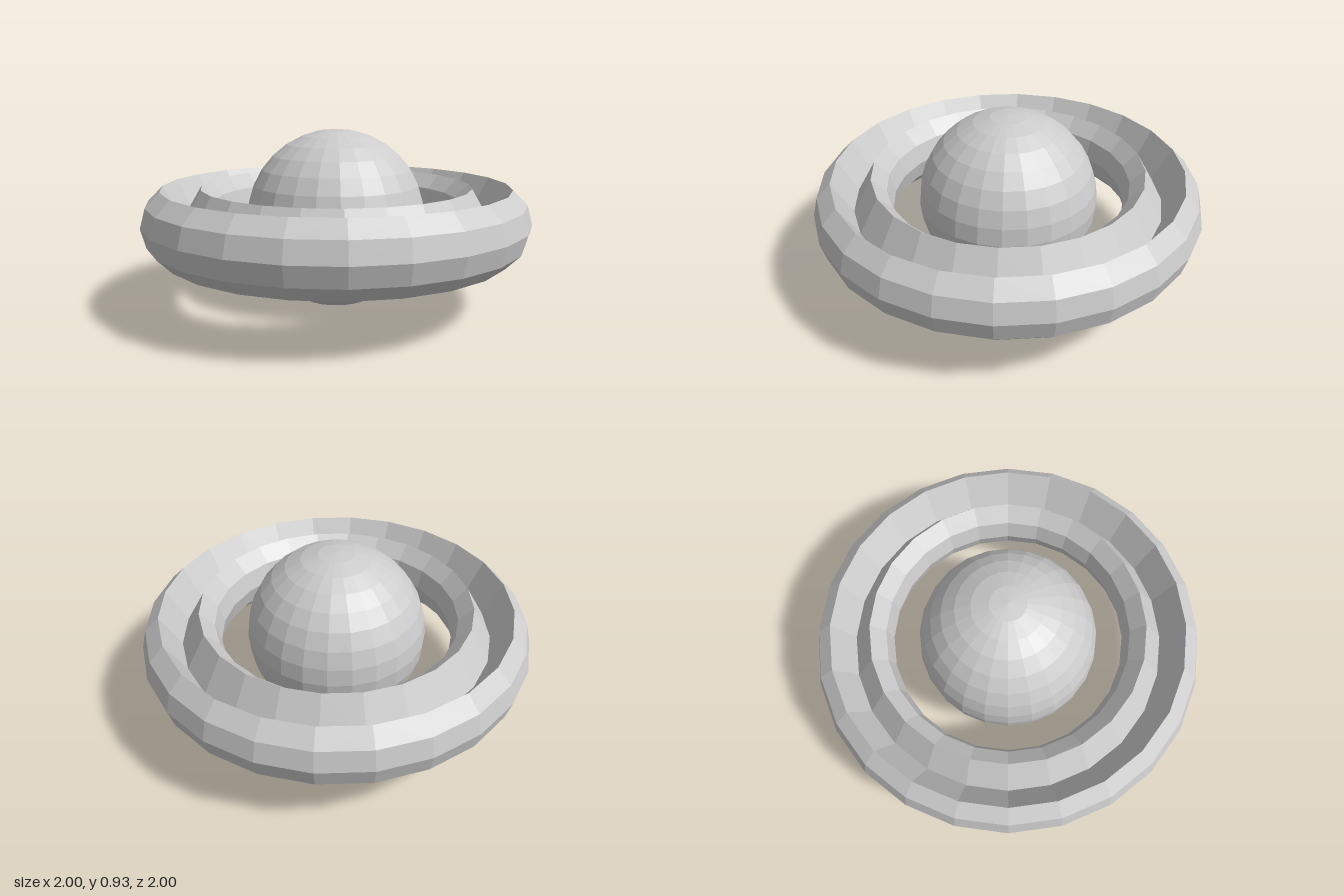
import * as THREE from 'three';

const CENTER_Y = 0.464;
const SIDES = 24;

export function createModel() {
  const group = new THREE.Group();
  const material = new THREE.MeshStandardMaterial({ color: 0xcccccc, flatShading: true });

  const add = (name, geometry) => {
    const mesh = new THREE.Mesh(geometry, material);
    mesh.name = name;
    mesh.position.y = CENTER_Y;
    group.add(mesh);
  };

  // Central globe
  add('globe', new THREE.SphereGeometry(0.464, SIDES, 16));

  // Ring half: a 120 degree wedge of a 12-sided tube, spun around the globe
  const ringHalf = (startDegrees) => {
    const radius = 0.8, tube = 0.2;
    const points = [new THREE.Vector2(radius, 0)];
    for (let i = 0; i <= 4; i++) {
      const a = THREE.MathUtils.degToRad(startDegrees + i * 30);
      points.push(new THREE.Vector2(radius + tube * Math.cos(a), tube * Math.sin(a)));
    }
    points.push(new THREE.Vector2(radius, 0));
    return new THREE.LatheGeometry(points, SIDES);
  };

  // The two halves meet in a V groove above and below
  add('outerRing', ringHalf(-60));
  add('innerRing', ringHalf(120));

  return group;
}
